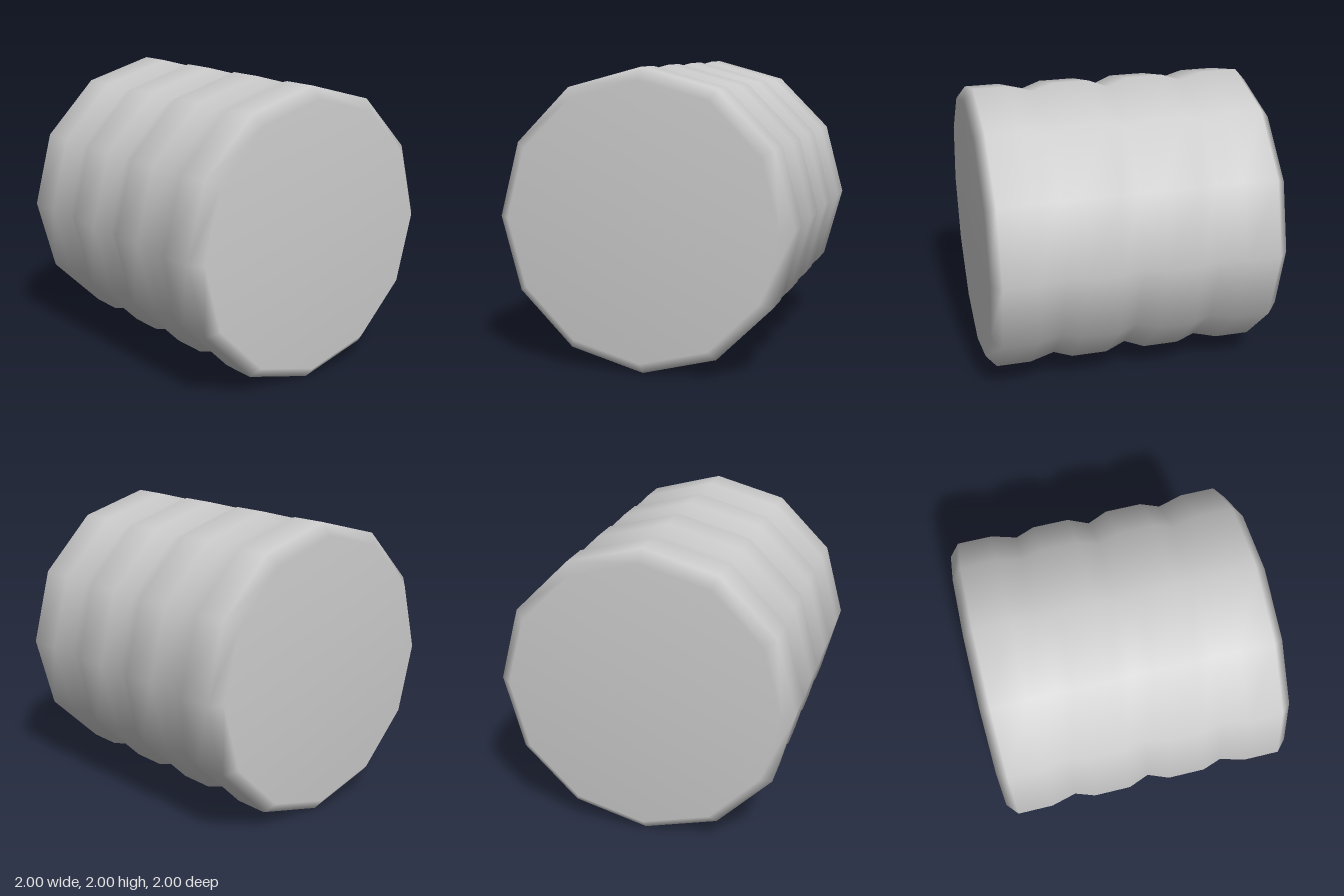
import * as THREE from 'three';

export function createModel() {
  const group = new THREE.Group();
  const material = new THREE.MeshStandardMaterial({ color: 0xcccccc });

  // Half profile as [radius, distance from the middle groove]
  const half = [
    [0.945, 0], [1, 0.14], [1, 0.39], [0.955, 0.52],
    [1, 0.69], [1, 0.93], [0.92, 1], [0, 1],
  ];
  const mirrored = half.slice(1).reverse().map(([r, d]) => [r, -d]);
  const profile = [...mirrored, ...half].map(([r, d]) => new THREE.Vector2(r, d));

  // Twelve-sided grooved drum lying along x, caps smoothly blended in
  const geometry = new THREE.LatheGeometry(profile, 12);
  geometry.rotateZ(-Math.PI / 2);
  geometry.translate(0, 1, 0);

  const drum = new THREE.Mesh(geometry, material);
  drum.name = 'groovedDrum';
  group.add(drum);
  return group;
}
